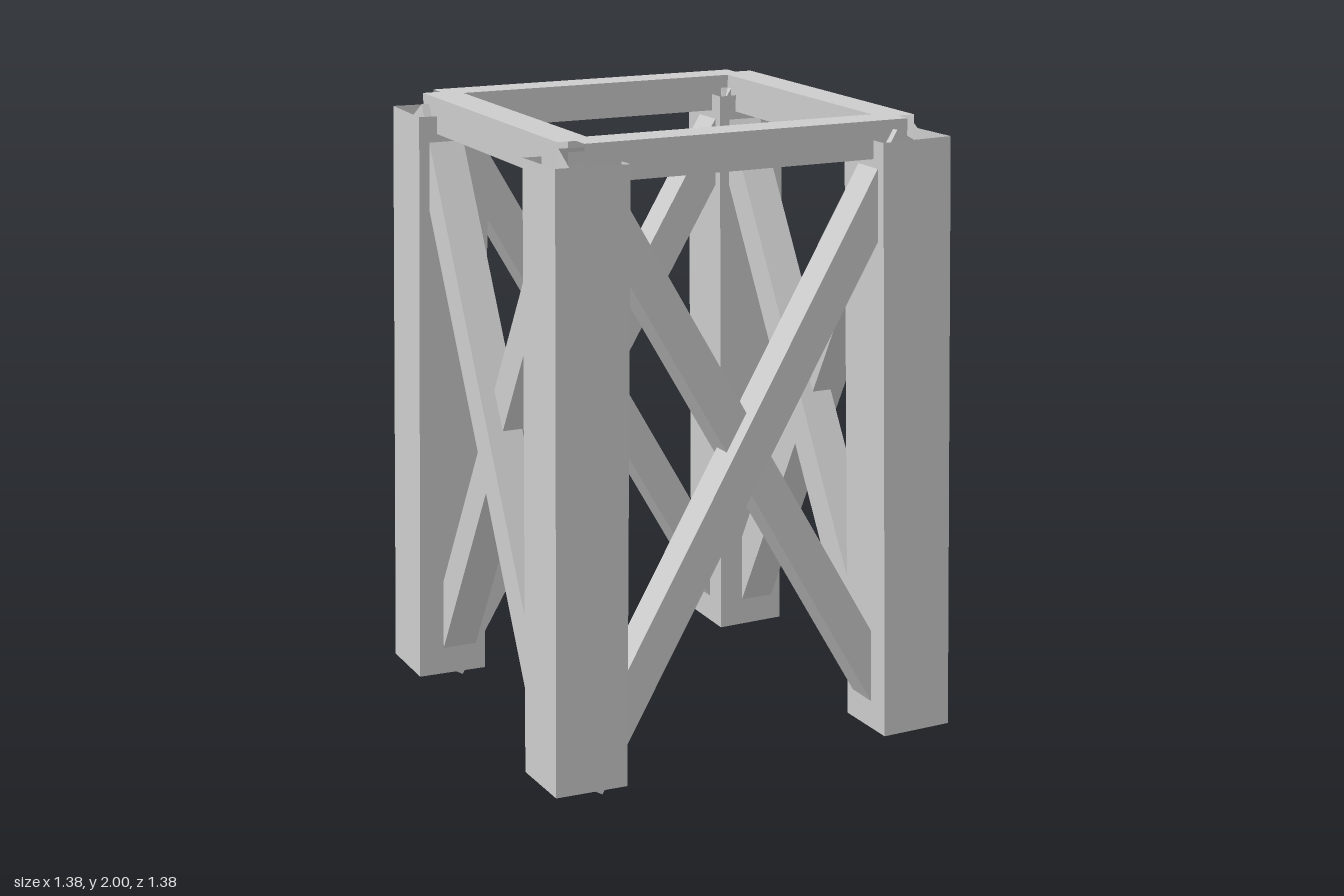
import * as THREE from 'three';

const material = new THREE.MeshStandardMaterial({ color: 0xcccccc, flatShading: true, side: THREE.DoubleSide });

const BOTTOM = { r: 0.573, y: 0.032 }; // leg centre line at the foot
const TOP = { r: 0.54, y: 1.943 };     // leg centre line at the head
const LEG = 0.237;
const BAR = 0.117;
const OFFSET = 0.025;                  // the two crossing braces sit side by side

// Open square tube from a to b, with one pair of sides facing "outward"
function squareTube(name, a, b, width, outward) {
  const geometry = new THREE.CylinderGeometry(width / Math.SQRT2, width / Math.SQRT2, a.distanceTo(b), 4, 1, true);
  geometry.rotateY(Math.PI / 4);
  const axis = b.clone().sub(a).normalize();
  const n = outward.clone().addScaledVector(axis, -outward.dot(axis)).normalize();
  const side = new THREE.Vector3().crossVectors(axis, n);
  geometry.applyMatrix4(new THREE.Matrix4().makeBasis(side, axis, n));
  const mesh = new THREE.Mesh(geometry, material);
  mesh.name = name;
  mesh.position.copy(a).add(b).multiplyScalar(0.5);
  return mesh;
}

const node = (level, sx, sz) => new THREE.Vector3(sx * level.r, level.y, sz * level.r);

export function createModel() {
  const group = new THREE.Group();
  group.name = 'bracedTower';

  // Leaning legs
  for (const sx of [-1, 1]) for (const sz of [-1, 1]) {
    group.add(squareTube('leg', node(BOTTOM, sx, sz), node(TOP, sx, sz), LEG, new THREE.Vector3(0, 0, sz)));
  }

  // Each side: its outward direction and the corners of its outer brace's foot and head
  const sides = [
    { name: 'front', out: [0, 1], foot: [-1, 1], head: [1, 1] },
    { name: 'back', out: [0, -1], foot: [1, -1], head: [-1, -1] },
    { name: 'left', out: [1, 0], foot: [1, -1], head: [1, 1] },
    { name: 'right', out: [-1, 0], foot: [-1, 1], head: [-1, -1] },
  ];
  for (const { name, out, foot, head } of sides) {
    const outward = new THREE.Vector3(out[0], 0, out[1]);

    // Top rail
    group.add(squareTube(name + 'TopRail', node(TOP, ...foot), node(TOP, ...head), BAR, outward));

    // Crossed braces
    const outer = squareTube(name + 'OuterBrace', node(BOTTOM, ...foot), node(TOP, ...head), BAR, outward);
    outer.position.addScaledVector(outward, OFFSET);
    const inner = squareTube(name + 'InnerBrace', node(BOTTOM, ...head), node(TOP, ...foot), BAR, outward);
    inner.position.addScaledVector(outward, -OFFSET);
    group.add(outer, inner);
  }
  return group;
}
